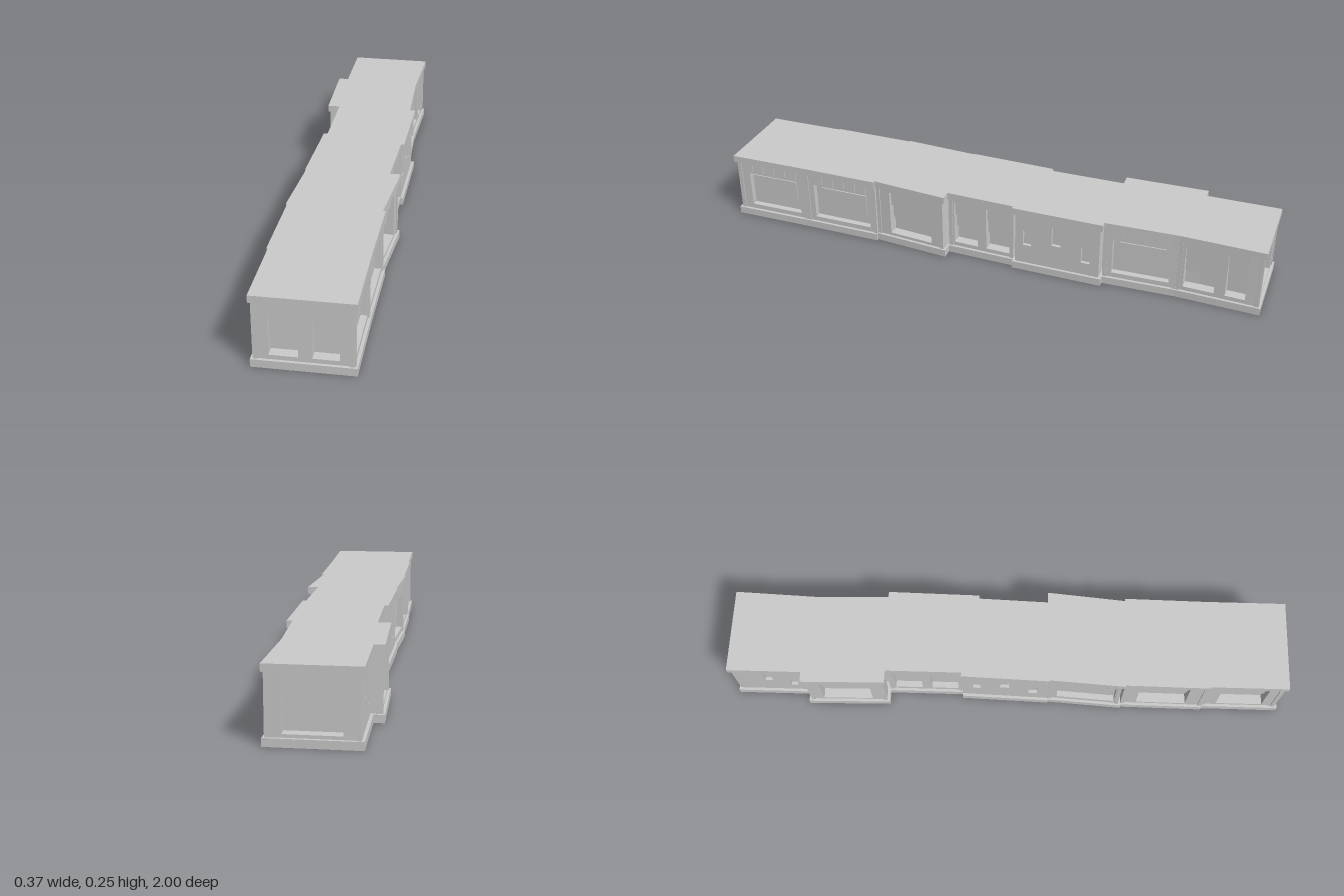
import * as THREE from 'three';

const mat = new THREE.MeshStandardMaterial({ color: 0xcccccc, flatShading: true });
const SLAB = 0.027, TOP = 0.25, Y0 = SLAB, Y1 = TOP - 0.025; // wall runs between the slabs
const INSET = 0.01, THICK = 0.045;                            // overhang and wall thickness

// Wall bays in order around the plan: [x0, z0, x1, z1, bay type]
const bays = [
  [-0.163, 1, 0.163, 1, 'twin'],
  [0.163, 1, 0.163, 0.71, 'wide'],
  [0.163, 0.71, 0.167, 0.42, 'wide'],
  [0.158, 0.42, 0.183, 0.14, 'single'],
  [0.145, 0.14, 0.153, -0.11, 'twin'],
  [0.165, -0.11, 0.17, -0.44, 'slits'],
  [0.15, -0.44, 0.143, -0.7, 'wide'],
  [0.143, -0.7, 0.155, -0.995, 'twin'],
  [0.155, -0.995, -0.147, -1, 'single'],
  [-0.147, -1, -0.147, -0.735, 'slits'],
  [-0.183, -0.735, -0.178, -0.435, 'single'],
  [-0.133, -0.435, -0.133, -0.165, 'twin'],
  [-0.147, -0.165, -0.157, 0.15, 'slits'],
  [-0.153, 0.15, -0.17, 0.42, 'wide'],
  [-0.165, 0.42, -0.168, 0.72, 'single'],
  [-0.163, 0.72, -0.163, 1, 'single'],
];

// Openings as [u0, u1, y0, y1], u being a fraction of the bay width
const openings = {
  twin: [[0.08, 0.448, 0.042, 0.208], [0.577, 0.94, 0.042, 0.208]],
  single: [[0.19, 0.79, 0.038, 0.21]],
  wide: [[0.12, 0.9, 0.045, 0.182]],
  slits: [[0.12, 0.21, 0.1, 0.16], [0.44, 0.54, 0.12, 0.195], [0.77, 0.87, 0.075, 0.14]],
};

function add(group, name, geometry) {
  const mesh = new THREE.Mesh(geometry, mat);
  mesh.name = name;
  group.add(mesh);
  return mesh;
}

// Box given by its limits on each axis
function block(group, name, x0, x1, y0, y1, z0, z1) {
  add(group, name, new THREE.BoxGeometry(x1 - x0, y1 - y0, z1 - z0))
    .position.set((x0 + x1) / 2, (y0 + y1) / 2, (z0 + z1) / 2);
}

function rect(path, x0, x1, y0, y1) {
  path.moveTo(x0, y0);
  path.lineTo(x1, y0);
  path.lineTo(x1, y1);
  path.lineTo(x0, y1);
  path.closePath();
  return path;
}

// One bay, built facing +z with its start at x = 0
function makeBay(type, w, a, b) {
  const g = new THREE.Group();
  g.name = type + 'Bay';
  const face = -INSET, back = face - THICK;

  // Wall pierced by the openings
  const wall = rect(new THREE.Shape(), a, b, Y0, Y1);
  for (const [u0, u1, y0, y1] of openings[type])
    wall.holes.push(rect(new THREE.Path(), u0 * w, u1 * w, y0, y1));
  const geo = new THREE.ExtrudeGeometry(wall, { depth: THICK, bevelEnabled: false });
  geo.translate(0, 0, back);
  add(g, 'bayWall', geo);

  for (const [u0, u1, y0, y1] of openings[type]) {
    const x0 = u0 * w, x1 = u1 * w;
    if (type === 'slits') {
      block(g, 'slitBack', x0, x1, y0, y1, back, face - 0.012);
    } else if (type === 'wide') {
      // Recessed panel with a shallow raised window and short ribs above
      block(g, 'recessPanel', x0, x1, y0, y1, back, face - 0.022);
      block(g, 'windowPane', 0.2 * w, 0.83 * w, 0.087, 0.165, back, face - 0.018);
      for (let i = 0; i < 5; i++) {
        const x = x0 + (x1 - x0) * (i + 0.5) / 5;
        block(g, 'rib', x - 0.014, x + 0.014, 0.19, Y1, face - 0.005, face + 0.004);
      }
    } else {
      // Three staggered shutter panels, each lower one set deeper
      const step = (y1 - y0) / 3;
      [0.036, 0.024, 0.012].forEach((depth, i) =>
        block(g, 'shutter', x0, x1, y0 + i * step, y0 + (i + 1) * step, back, face - depth));
    }
  }

  // Slim pilasters at both ends
  if (type !== 'slits')
    for (const x of [a, b - 0.014])
      block(g, 'pilaster', x, x + 0.014, Y0, Y1, face - 0.01, face + 0.004);
  return g;
}

// How far a point lies outside the line of a bay
function outward([x0, z0, x1, z1], x, z) {
  const len = Math.hypot(x1 - x0, z1 - z0);
  return ((x - x0) * -(z1 - z0) + (z - z0) * (x1 - x0)) / len;
}

export function createModel() {
  const model = new THREE.Group();
  model.name = 'building';

  // Floor and roof slabs share the stepped plan
  const plan = [];
  for (const [x0, z0, x1, z1] of bays)
    for (const p of [new THREE.Vector2(x0, z0), new THREE.Vector2(x1, z1)])
      if (!plan.some((q) => q.distanceTo(p) < 1e-4)) plan.push(p);
  for (const [name, y0, y1] of [['floorSlab', 0, Y0], ['roofSlab', Y1, TOP]]) {
    const geo = new THREE.ExtrudeGeometry(new THREE.Shape(plan), { depth: y1 - y0, bevelEnabled: false });
    geo.rotateX(Math.PI / 2);
    add(model, name, geo).position.y = y1;
  }

  block(model, 'core', -0.1, 0.1, Y0, Y1, -0.95, 0.95);

  // Bays, pulled back from the slab edge at projecting corners
  bays.forEach((bay, i) => {
    const [x0, z0, x1, z1, type] = bay;
    const w = Math.hypot(x1 - x0, z1 - z0);
    const prev = bays[(i + bays.length - 1) % bays.length];
    const next = bays[(i + 1) % bays.length];
    const a = outward(bay, prev[0], prev[1]) < -0.01 ? INSET : 0;
    const b = outward(bay, next[2], next[3]) < -0.01 ? w - INSET : w;
    const g = makeBay(type, w, a, b);
    g.position.set(x0, 0, z0);
    g.rotation.y = Math.atan2(z0 - z1, x1 - x0);
    model.add(g);
  });
  return model;
}
